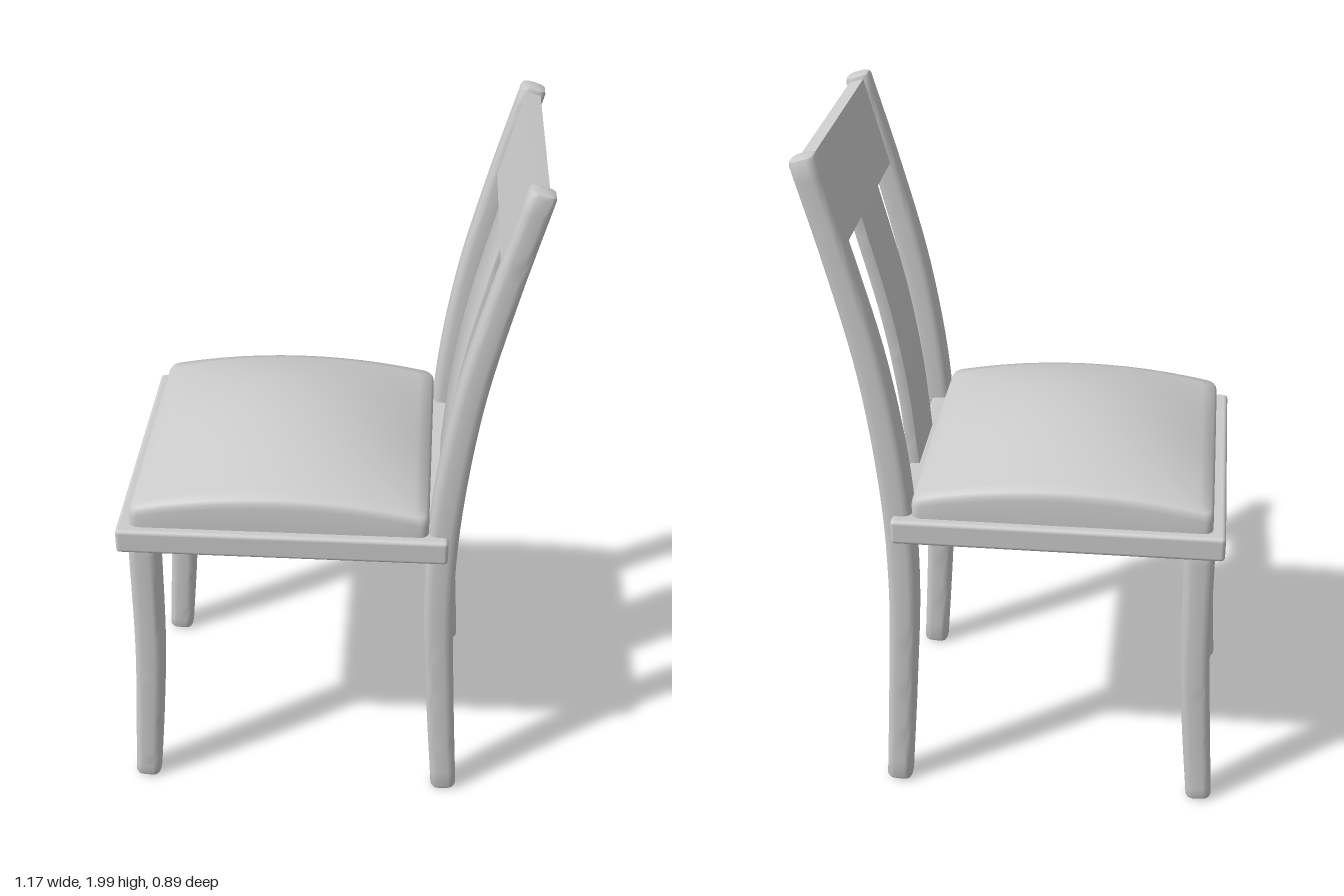
import * as THREE from 'three';
import { toCreasedNormals } from 'three/addons/utils/BufferGeometryUtils.js';
import { RoundedBoxGeometry } from 'three/addons/geometries/RoundedBoxGeometry.js';

const material = new THREE.MeshStandardMaterial({ color: 0xcccccc });

function addMesh(group, name, geometry) {
  const mesh = new THREE.Mesh(geometry, material);
  mesh.name = name;
  group.add(mesh);
  return mesh;
}

// Closed rounded rectangle, with corner arcs and evenly divided sides
function roundedRect(w, d, r, arc = 4, side = 1) {
  const corners = [[1, 1], [-1, 1], [-1, -1], [1, -1]];
  const points = [];
  corners.forEach(([sx, sz], k) => {
    for (let i = 0; i <= arc; i++) {
      const a = (k + i / arc) * Math.PI / 2;
      points.push([sx * (w / 2 - r) + r * Math.cos(a), sz * (d / 2 - r) + r * Math.sin(a)]);
    }
    const [x0, z0] = points[points.length - 1];
    const [nx, nz] = corners[(k + 1) % 4];
    const a = (k + 1) * Math.PI / 2;
    const x1 = nx * (w / 2 - r) + r * Math.cos(a), z1 = nz * (d / 2 - r) + r * Math.sin(a);
    for (let i = 1; i < side; i++) {
      points.push([x0 + (x1 - x0) * i / side, z0 + (z1 - z0) * i / side]);
    }
  });
  return points;
}

// Skin through rings of Vector3 running upwards, closed at both ends
function loft(rings, crease = 0.75) {
  const n = rings[0].length, pos = [], index = [];
  rings.flat().forEach(p => pos.push(p.x, p.y, p.z));
  for (let i = 0; i < rings.length - 1; i++) {
    for (let j = 0; j < n; j++) {
      const a = i * n + j, b = i * n + (j + 1) % n;
      index.push(a, a + n, b, b, a + n, b + n);
    }
  }
  [0, rings.length - 1].forEach((i, end) => {
    const c = rings[i].reduce((s, p) => s.add(p), new THREE.Vector3()).divideScalar(n);
    const ci = pos.length / 3;
    pos.push(c.x, c.y, c.z);
    for (let j = 0; j < n; j++) {
      const a = i * n + j, b = i * n + (j + 1) % n;
      index.push(ci, end ? b : a, end ? a : b);
    }
  });
  const g = new THREE.BufferGeometry();
  g.setAttribute('position', new THREE.Float32BufferAttribute(pos, 3));
  g.setIndex(index);
  return toCreasedNormals(g, crease);
}

// Bent bar: stations are [x, y, width, depth]; bevel softens the ends
function bentBar(stations, corner, bevel, steps = 24) {
  const path = new THREE.CatmullRomCurve3(stations.map(s => new THREE.Vector3(s[0], s[1], 0)));
  const size = new THREE.CatmullRomCurve3(stations.map(s => new THREE.Vector3(s[2], s[3], 0)));
  const ring = (t, inset, shift) => {
    const p = path.getPoint(t), dir = path.getTangent(t), s = size.getPoint(t);
    const across = new THREE.Vector3(dir.y, -dir.x, 0);
    const w = s.x - 2 * inset, d = s.y - 2 * inset;
    return roundedRect(w, d, Math.min(w, d) * corner).map(([u, v]) => {
      const q = p.clone().addScaledVector(across, u).addScaledVector(dir, shift);
      q.z += v;
      return q;
    });
  };
  const rings = [];
  if (bevel) rings.push(ring(0, bevel, -bevel), ring(0, bevel * 0.3, -bevel * 0.7));
  for (let i = 0; i <= steps; i++) rings.push(ring(i / steps, 0, 0));
  if (bevel) rings.push(ring(1, bevel * 0.3, bevel * 0.7), ring(1, bevel, bevel));
  return loft(rings);
}

// Pillow: straight sides, softened rim and a dome that sags towards the corners
function cushionGeometry(w, d, y0) {
  const outline = roundedRect(w, d, 0.025, 4, 12);
  const top = (x, z) => {
    const u = (2 * x / w) ** 2, v = (2 * z / d) ** 2;
    return 1.01 + 0.125 * (1 - u) * (1 - 0.65 * v) + 0.01 * u * (1 - v);
  };
  const ring = (s, y) => outline.map(([x, z]) => new THREE.Vector3(x * s, y(x * s, z * s), z * s));
  const rings = [
    ring(1, () => y0),
    ring(1, (x, z) => top(x, z) - 0.022),
    ring(0.994, (x, z) => top(x, z) - 0.009),
    ring(0.98, top),
  ];
  for (let i = 1; i <= 12; i++) rings.push(ring(0.98 - 0.08 * i, top));
  return loft(rings, 1);
}

export function createModel() {
  const chair = new THREE.Group();
  chair.name = 'chair';

  // Seat
  addMesh(chair, 'seatBoard', new RoundedBoxGeometry(0.937, 0.075, 0.895, 3, 0.012))
    .position.set(-0.117, 0.918, -0.002);
  addMesh(chair, 'seatCushion', cushionGeometry(0.845, 0.845, 0.95))
    .position.set(-0.127, 0, -0.002);

  // Legs, the rear pair running on as back posts
  const frontLeg = bentBar([
    [-0.55, 0.014, 0.076, 0.074], [-0.533, 0.25, 0.082, 0.084],
    [-0.519, 0.5, 0.085, 0.094], [-0.515, 0.9, 0.088, 0.1],
  ], 0.3, 0.012);
  const backPost = bentBar([
    [0.366, 0.014, 0.076, 0.074], [0.346, 0.35, 0.081, 0.084],
    [0.331, 0.7, 0.085, 0.094], [0.343, 1.02, 0.087, 0.095],
    [0.393, 1.38, 0.082, 0.086], [0.47, 1.7, 0.077, 0.078],
    [0.548, 1.977, 0.072, 0.073],
  ], 0.3, 0.012, 36);
  for (const [side, z] of [['left', 0.37], ['right', -0.37]]) {
    addMesh(chair, side + 'FrontLeg', frontLeg).position.z = z;
    addMesh(chair, side + 'BackPost', backPost).position.z = z;
  }

  // Back rest
  addMesh(chair, 'backSlat', bentBar([
    [0.337, 0.94, 0.034, 0.25], [0.36, 1.18, 0.034, 0.25],
    [0.4, 1.42, 0.034, 0.25], [0.482, 1.75, 0.034, 0.25],
  ], 0.08, 0)).position.z = 0.017;
  const rail = addMesh(chair, 'topRail', new THREE.BoxGeometry(0.042, 0.262, 0.7));
  rail.position.set(0.513, 1.85, 0);
  rail.rotation.z = -0.27;

  return chair;
}
